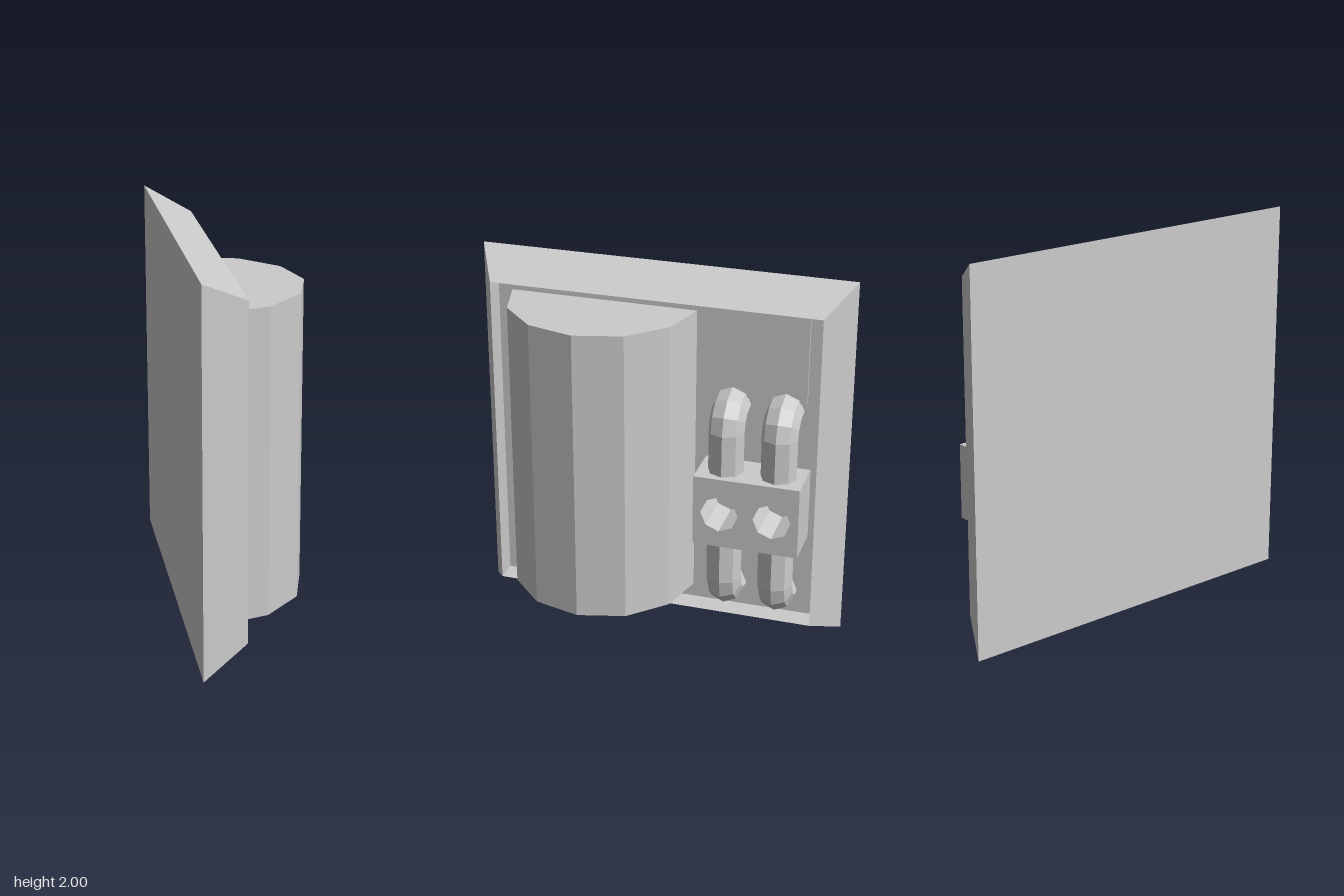
import * as THREE from 'three';

const FLOOR = -0.19; // x of the recessed floor of the panel

export function createModel() {
  const root = new THREE.Group();
  root.name = 'wallPanel';
  const material = new THREE.MeshStandardMaterial({ color: 0xcccccc, flatShading: true });

  function add(name, geometry, parent = root) {
    const faceted = geometry.index ? geometry.toNonIndexed() : geometry;
    faceted.computeVertexNormals();
    const mesh = new THREE.Mesh(faceted, material);
    mesh.name = name;
    parent.add(mesh);
    return mesh;
  }

  // Square tray: bevelled rim around a sunken floor, a four-sided lathe laid on its side
  const profile = [[0, -0.31], [1, -0.31], [0.875, -0.07], [0.875, FLOOR], [0, FLOOR]]
    .map(([r, h]) => new THREE.Vector2(r * Math.SQRT2, h));
  const tray = new THREE.LatheGeometry(profile, 4, Math.PI / 4);
  tray.rotateZ(-Math.PI / 2).translate(0, 1, 0);
  add('tray', tray);

  // Large half cylinder lying against the floor
  const drum = new THREE.CylinderGeometry(0.5, 0.5, 1.6, 6, 1, false, 0, Math.PI);
  drum.translate(FLOOR, 1, 0.3);
  add('halfDrum', drum);

  // Thin square plate above the pipes
  const plate = new THREE.BoxGeometry(0.015, 0.49, 0.5);
  plate.translate(FLOOR + 0.0075, 1.605, -0.54);
  add('plate', plate);

  // Clamp block with two octagonal sockets (shape x becomes -z)
  const pipeZ = [-0.4, -0.68];
  const outline = new THREE.Shape([[0.26, 0.6], [0.82, 0.6], [0.82, 0.99], [0.26, 0.99]]
    .map(([x, y]) => new THREE.Vector2(x, y)));
  for (const z of pipeZ) {
    const corners = [];
    for (let i = 0; i < 8; i++) {
      const a = -i * Math.PI / 4;
      corners.push(new THREE.Vector2(-z + 0.1 * Math.cos(a), 0.79 + 0.1 * Math.sin(a)));
    }
    outline.holes.push(new THREE.Path(corners));
  }
  const clamp = new THREE.ExtrudeGeometry(outline, { depth: 0.06 - FLOOR, bevelEnabled: false });
  clamp.rotateY(Math.PI / 2).translate(FLOOR, 0, 0);
  add('clampBlock', clamp);

  // Pipes: each half leaves the clamp, runs straight and bends into the floor
  const R = 0.095, BEND = 0.1, axisX = -0.065, bendX = axisX - BEND;
  function pipeHalf(name, z, startY, bendY, up) {
    const half = new THREE.Group();
    half.name = name;
    half.position.z = z;
    root.add(half);

    const length = Math.abs(bendY - startY);
    const run = new THREE.CylinderGeometry(R, R, length, 8, 1, true);
    run.translate(axisX, (startY + bendY) / 2, 0);
    add('pipeRun', run, half);

    const elbow = new THREE.TorusGeometry(BEND, R, 8, 3, Math.PI / 2);
    if (!up) elbow.rotateZ(-Math.PI / 2);
    elbow.translate(bendX, bendY, 0);
    add('pipeElbow', elbow, half);

    const stub = new THREE.CylinderGeometry(R, R, bendX - FLOOR, 8, 1, true);
    stub.rotateZ(Math.PI / 2);
    stub.translate((bendX + FLOOR) / 2, bendY + (up ? BEND : -BEND), 0);
    add('pipeStub', stub, half);
  }
  for (const z of pipeZ) {
    pipeHalf('upperPipe', z, 0.98, 1.215, true);
    pipeHalf('lowerPipe', z, 0.61, 0.36, false);
  }

  return root;
}
